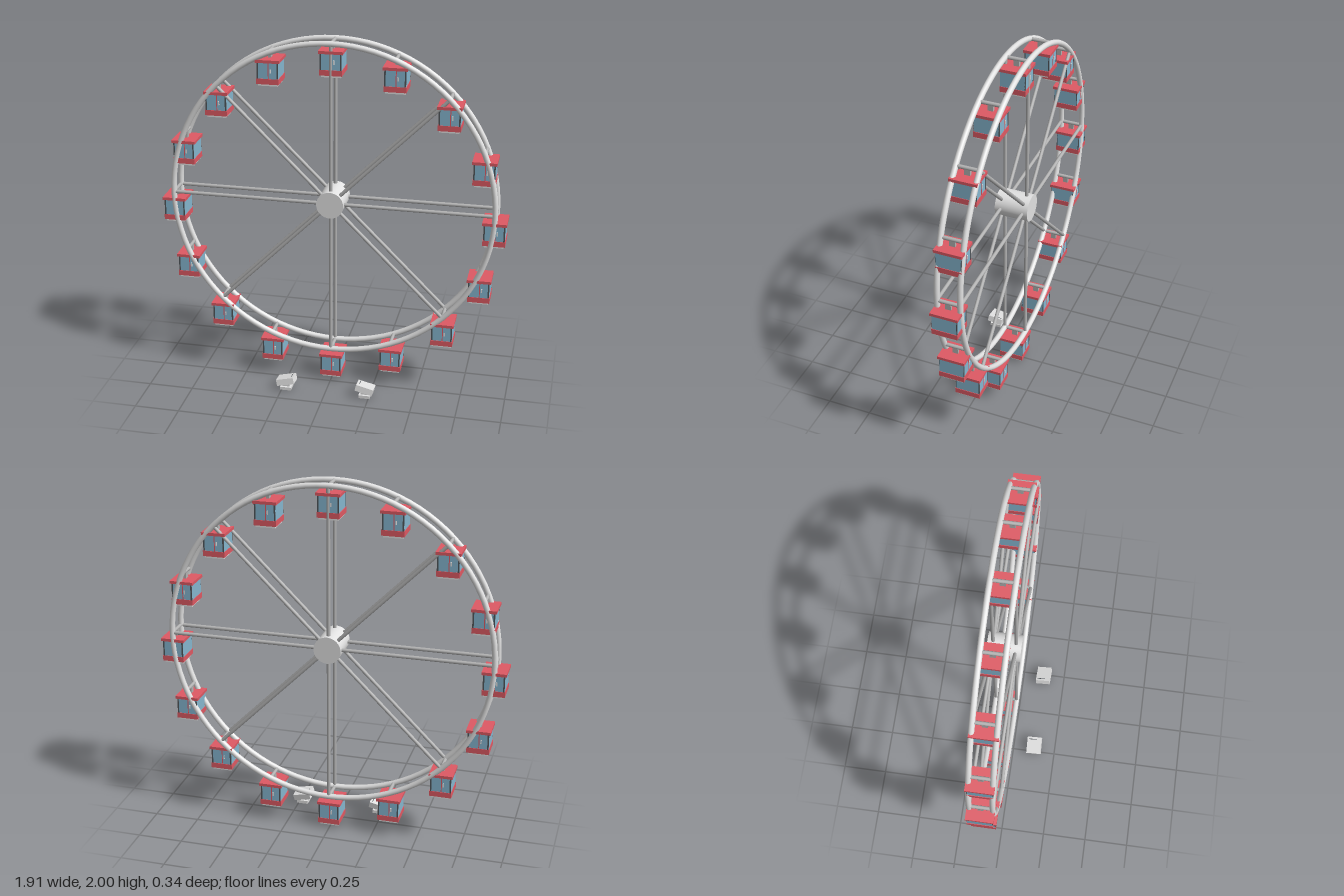
import * as THREE from 'three';

const mat = (name, color) => {
  const m = new THREE.MeshStandardMaterial({ color });
  m.name = name;
  return m;
};

export function createModel() {
  const red = mat('cabin red', 0xdf5a64);
  const blue = mat('window blue', 0x86b7d0);
  const light = mat('light grey', 0xe2e2e2);
  const steel = mat('steel grey', 0xb4b4b4);
  const dark = mat('frame dark grey', 0x50565a);

  const CY = 1.093, CZ = -0.077, RING_Z = 0.0625, R = 0.8915;
  const model = new THREE.Group();
  model.name = 'ferrisWheel';

  const add = (parent, name, geo, material, x = 0, y = 0, z = 0) => {
    const m = new THREE.Mesh(geo, material);
    m.name = name;
    m.position.set(x, y, z);
    parent.add(m);
    return m;
  };
  const box = (w, h, d) => new THREE.BoxGeometry(w, h, d);

  // Wheel: two rings, spokes, cross bars and hub
  const wheel = new THREE.Group();
  wheel.name = 'wheel';
  wheel.position.set(0, CY, CZ);
  model.add(wheel);
  const ringGeo = new THREE.TorusGeometry(R, 0.0155, 12, 96);
  const spokeGeo = new THREE.CylinderGeometry(0.01, 0.01, R, 10).translate(0, R / 2, 0);
  for (const z of [-RING_Z, RING_Z]) {
    add(wheel, 'ring', ringGeo, light, 0, 0, z);
    for (let i = 0; i < 8; i++) {
      add(wheel, 'spoke', spokeGeo, steel, 0, 0, z).rotation.z = (i * Math.PI) / 4;
    }
  }
  const hubGeo = new THREE.CylinderGeometry(0.075, 0.075, 0.186, 40).rotateX(Math.PI / 2);
  add(wheel, 'hub', hubGeo, light);
  const barGeo = new THREE.CylinderGeometry(0.01, 0.01, RING_Z * 2, 10).rotateX(Math.PI / 2);

  // Cabin, with its origin at the pivot
  const roofGeo = box(0.132, 0.016, 0.15);
  const bodyGeo = box(0.116, 0.09, 0.134);
  const skirtGeo = box(0.122, 0.03, 0.14);
  const floorGeo = box(0.106, 0.012, 0.122);
  const postGeo = box(0.008, 0.09, 0.004);
  const seamGeo = box(0.005, 0.09, 0.004);
  const handleGeo = box(0.007, 0.022, 0.006);
  const hangerGeo = box(0.016, 0.044, 0.03);

  const makeCabin = () => {
    const g = new THREE.Group();
    g.name = 'cabin';
    add(g, 'hanger', hangerGeo, steel, 0, -0.02, 0);
    add(g, 'roof', roofGeo, red, 0, -0.045, 0);
    add(g, 'windows', bodyGeo, blue, 0, -0.098, 0);
    add(g, 'skirt', skirtGeo, red, 0, -0.155, 0);
    add(g, 'floor', floorGeo, light, 0, -0.175, 0);
    for (const sz of [-1, 1]) {
      for (const sx of [-1, 1]) add(g, 'cornerPost', postGeo, dark, sx * 0.054, -0.098, sz * 0.066);
      add(g, 'doorSeam', seamGeo, red, sz * 0.005, -0.098, sz * 0.066);
      add(g, 'doorHandle', handleGeo, light, sz * 0.016, -0.098, sz * 0.067);
    }
    return g;
  };

  for (let i = 0; i < 16; i++) {
    const a = (i * Math.PI) / 8, x = Math.cos(a) * R, y = Math.sin(a) * R;
    add(wheel, 'crossBar', barGeo, steel, x, y, 0);
    const cabin = makeCabin();
    cabin.position.set(x, y, 0);
    wheel.add(cabin);
  }

  // Pair of tilted floodlights on the ground
  for (const side of [-1, 1]) {
    const lamp = new THREE.Group();
    lamp.name = side < 0 ? 'rightFloodlight' : 'leftFloodlight';
    lamp.position.set(side * 0.227, 0, 0.125);
    add(lamp, 'base', box(0.064, 0.018, 0.066), light, 0, 0.009, 0);
    add(lamp, 'stand', box(0.044, 0.03, 0.04), light, 0, 0.03, 0);
    const head = new THREE.Group();
    head.name = 'lampHead';
    head.position.set(0, 0.051, 0);
    head.rotation.set(-0.14, 0, -side * 0.23);
    add(head, 'housing', box(0.1, 0.036, 0.084), light);
    add(head, 'slot', box(0.004, 0.004, 0.045), dark, -side * 0.036, 0.017, -0.01);
    lamp.add(head);
    model.add(lamp);
  }
  return model;
}
